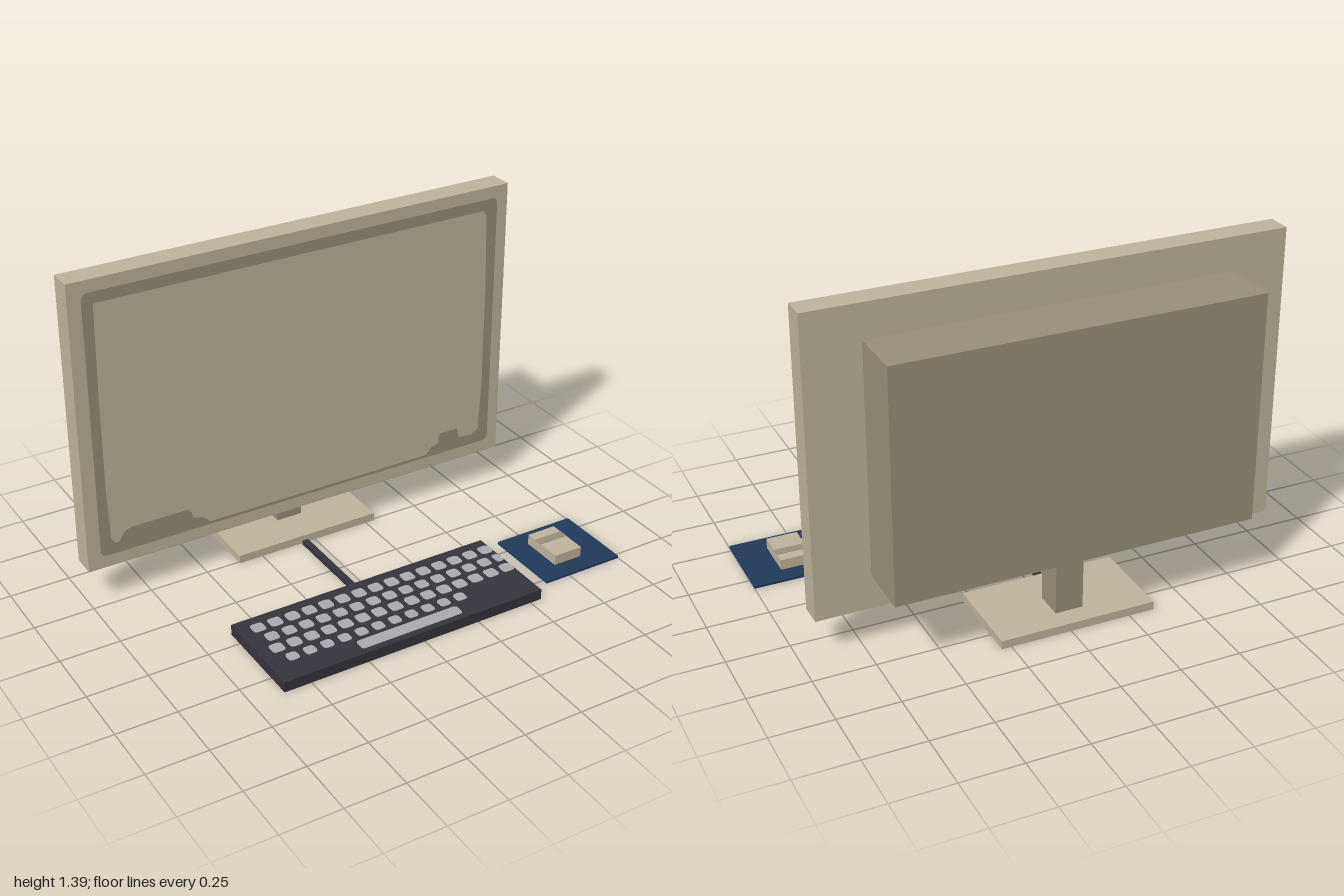
import * as THREE from 'three';

const mat = (name, color) => {
  const m = new THREE.MeshStandardMaterial({ color });
  m.name = name;
  return m;
};

// Rounded rectangle outline from its limits
function roundRect(x0, x1, y0, y1, r) {
  const s = new THREE.Shape();
  s.moveTo(x0 + r, y0);
  s.lineTo(x1 - r, y0);
  s.quadraticCurveTo(x1, y0, x1, y0 + r);
  s.lineTo(x1, y1 - r);
  s.quadraticCurveTo(x1, y1, x1 - r, y1);
  s.lineTo(x0 + r, y1);
  s.quadraticCurveTo(x0, y1, x0, y1 - r);
  s.lineTo(x0, y0 + r);
  s.quadraticCurveTo(x0, y0, x0 + r, y0);
  return s;
}

export function createModel() {
  const beige = mat('beige plastic', 0xbdb39c);
  const taupe = mat('dark beige plastic', 0x988f7a);
  const charcoal = mat('charcoal plastic', 0x35333c);
  const grey = mat('key grey', 0xa9abb1);
  const navy = mat('navy fabric', 0x203a5a);

  const model = new THREE.Group();
  model.name = 'desktopSet';
  const group = (name) => {
    const g = new THREE.Group();
    g.name = name;
    model.add(g);
    return g;
  };

  // Box given by its limits along each axis
  const box = (parent, name, m, [x0, x1], [y0, y1], [z0, z1]) => {
    const mesh = new THREE.Mesh(new THREE.BoxGeometry(x1 - x0, y1 - y0, z1 - z0), m);
    mesh.name = name;
    mesh.position.set((x0 + x1) / 2, (y0 + y1) / 2, (z0 + z1) / 2);
    parent.add(mesh);
    return mesh;
  };
  const plate = (shape) =>
    new THREE.ExtrudeGeometry(shape, { depth: 0.002, bevelEnabled: false, curveSegments: 4 });

  // Monitor
  const monitor = group('monitor');
  box(monitor, 'frontPanel', beige, [-1, 0.935], [0.16, 1.39], [-0.37, -0.27]);
  box(monitor, 'rearHousing', taupe, [-0.78, 0.71], [0.3, 1.25], [-0.605, -0.37]);
  box(monitor, 'standNeck', taupe, [-0.09, 0.025], [0.035, 0.29], [-0.52, -0.4]);
  box(monitor, 'standBase', beige, [-0.355, 0.29], [0, 0.035], [-0.605, -0.24]);

  // Painted border around the screen, with a label bump and a button bump
  const border = roundRect(-0.945, 0.885, 0.212, 1.34, 0.03);
  border.holes.push(new THREE.Path([
    [-0.9, 1.293], [-0.905, 0.9], [-0.905, 0.5], [-0.898, 0.28], [-0.88, 0.258],
    [-0.86, 0.265], [-0.84, 0.3], [-0.81, 0.31], [-0.57, 0.31], [-0.55, 0.295],
    [-0.54, 0.265], [-0.5, 0.255], [-0.47, 0.225], [0.57, 0.225], [0.59, 0.255],
    [0.63, 0.265], [0.635, 0.31], [0.725, 0.31], [0.735, 0.265], [0.8, 0.258],
    [0.835, 0.28], [0.845, 0.5], [0.845, 0.9], [0.835, 1.27], [0.82, 1.293],
  ].map(([x, y]) => new THREE.Vector2(x, y))));
  const screenBorder = new THREE.Mesh(plate(border), taupe);
  screenBorder.name = 'screenBorder';
  screenBorder.position.z = -0.27;
  monitor.add(screenBorder);

  // Keyboard and cable
  const keyboard = group('keyboard');
  box(keyboard, 'keyboardBody', charcoal, [-0.615, 0.55], [0, 0.045], [0.18, 0.6]);
  box(keyboard, 'keyboardCable', charcoal, [-0.065, -0.04], [0, 0.02], [-0.23, 0.175]);

  const addKey = (name, x0, x1, z, depth) => {
    const key = new THREE.Mesh(
      plate(roundRect(x0, x1, -depth / 2, depth / 2, Math.min(0.016, (x1 - x0) / 3))), grey);
    key.name = name;
    key.rotation.x = -Math.PI / 2;
    key.position.set(0, 0.045, z);
    keyboard.add(key);
  };
  // Each row: first key centre, z, key count, key size
  const rows = [
    [-0.535, 0.25, 15, 0.054],
    [-0.515, 0.325, 15, 0.052],
    [-0.535, 0.4, 15, 0.054],
    [-0.51, 0.475, 11, 0.048],
  ];
  for (const [start, z, count, size] of rows) {
    for (let i = 0; i < count; i++) {
      const x = start + i * 0.0755;
      addKey('key', x - size / 2, Math.min(x + size / 2, 0.548), z, size);
    }
  }
  addKey('spaceBar', -0.262, 0.196, 0.546, 0.054);

  // Mouse on its pad
  const mouse = group('mouse');
  box(mouse, 'mousePad', navy, [0.635, 1], [0, 0.01], [0.185, 0.525]);
  box(mouse, 'mouseBody', beige, [0.735, 0.865], [0.01, 0.054], [0.26, 0.445]);
  box(mouse, 'mouseStripe', taupe, [0.735, 0.865], [0.054, 0.056], [0.307, 0.345]);

  return model;
}
